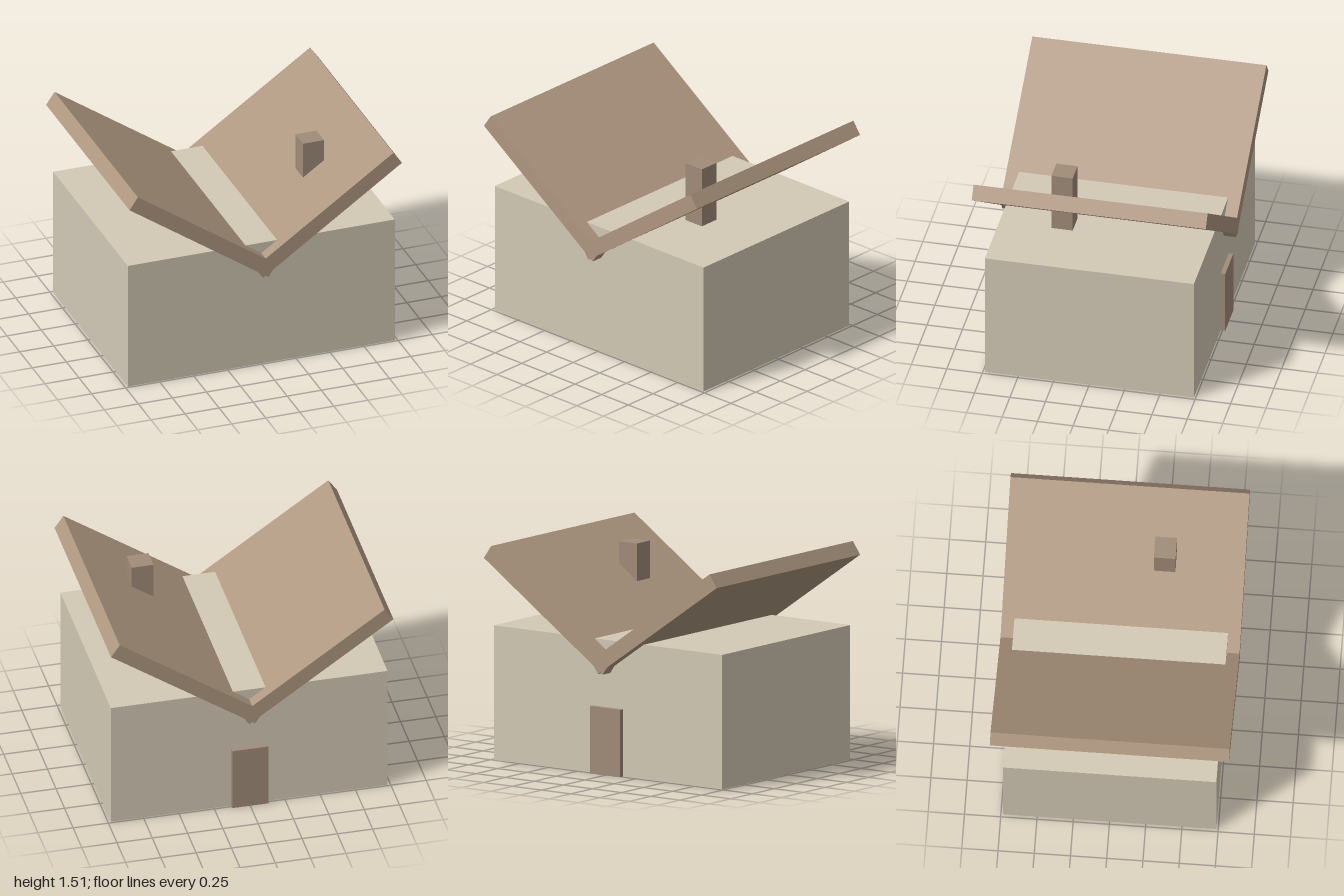
import * as THREE from 'three';

const wallMat = new THREE.MeshStandardMaterial({ color: 0xd2c9b5 });
const roofMat = new THREE.MeshStandardMaterial({ color: 0xae9780 });
const trimMat = new THREE.MeshStandardMaterial({ color: 0xa08c79 });

// Box given by its lower and upper corners
function box(name, [x0, y0, z0], [x1, y1, z1], material) {
  const mesh = new THREE.Mesh(new THREE.BoxGeometry(x1 - x0, y1 - y0, z1 - z0), material);
  mesh.name = name;
  mesh.position.set((x0 + x1) / 2, (y0 + y1) / 2, (z0 + z1) / 2);
  return mesh;
}

export function createModel() {
  const house = new THREE.Group();
  house.name = 'butterflyRoofHouse';

  house.add(box('walls', [-0.98, 0, -0.737], [0.98, 0.94, 0.737], wallMat));

  // Two slabs rising outward, crossing at the central valley
  const angle = 0.607, thickness = 0.109, length = 1.242;
  for (const side of [1, -1]) {
    const slab = new THREE.Mesh(new THREE.BoxGeometry(length, thickness, 1.65), roofMat);
    slab.name = side > 0 ? 'leftRoofSlab' : 'rightRoofSlab';
    slab.position.set(side * 0.459, 1.112, 0);
    slab.rotation.z = side * angle;
    house.add(slab);
  }

  // Chimney passes through the left slab; door stands out from the back wall
  house.add(box('chimney', [0.45, 1.003, 0.2], [0.605, 1.435, 0.35], trimMat));
  house.add(box('door', [-0.128, 0, -0.77], [0.128, 0.47, -0.7], trimMat));

  return house;
}
